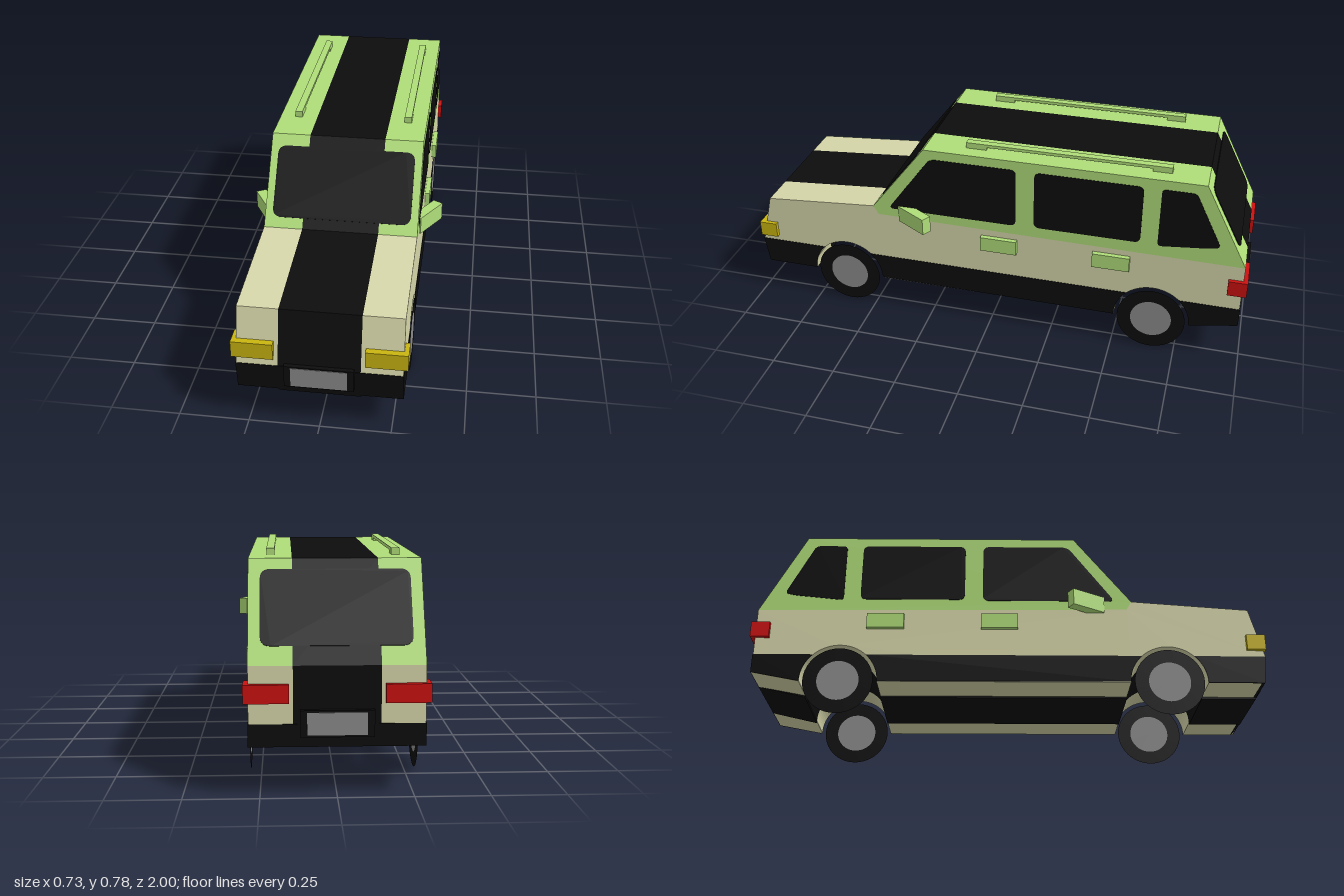
import * as THREE from 'three';

const paint = (name, color) => {
  const m = new THREE.MeshStandardMaterial({ color });
  m.name = name;
  return m;
};

// wheel arch data: axle positions, axle height, arch radius
const ZF = 0.61, ZR = -0.65, AY = 0.133, R = 0.147;
const HALF = 0.286, STRIPE = 0.142;

const poly = (pts) => new THREE.Shape(pts.map((p) => new THREE.Vector2(...p)));

// polygon with softened corners
function roundPoly(pts, r) {
  const s = new THREE.Shape();
  const v = pts.map((p) => new THREE.Vector2(...p));
  v.forEach((c, i) => {
    const toward = (q) => c.clone().add(q.clone().sub(c).setLength(r));
    const a = toward(v[(i + v.length - 1) % v.length]);
    const b = toward(v[(i + 1) % v.length]);
    if (i === 0) s.moveTo(a.x, a.y); else s.lineTo(a.x, a.y);
    s.quadraticCurveTo(c.x, c.y, b.x, b.y);
  });
  s.closePath();
  return s;
}

// extrude a (z, y) profile from x1 to x2
function slab(shape, x1, x2) {
  const g = new THREE.ExtrudeGeometry(shape, { depth: x2 - x1, bevelEnabled: false, curveSegments: 20 });
  return g.rotateY(-Math.PI / 2).translate(x2, 0, 0);
}

// side outline of the body: upper points, then the underside with both arches
function bodyShape(upper, floor) {
  const s = poly(upper);
  s.lineTo(-0.98, 0.165);
  s.lineTo(-0.8, floor);
  s.lineTo(ZR - R, floor);
  s.absarc(ZR, AY, R, Math.PI, 0, true);
  s.lineTo(ZR + R, floor);
  s.lineTo(ZF - R, floor);
  s.absarc(ZF, AY, R, Math.PI, 0, true);
  s.lineTo(ZF + R, floor);
  s.lineTo(0.97, floor);
  s.closePath();
  return s;
}

// dark sill pieces before, between and behind the arches
function sillShapes() {
  const top = 0.24, low = 0.13, a = Math.asin((top - AY) / R), c = R * Math.cos(a);
  const front = poly([[0.97, low], [0.985, top], [ZF + c, top]]);
  front.absarc(ZF, AY, R, a, 0, true);
  front.lineTo(ZF + R, low);
  const mid = poly([[ZF - R, low]]);
  mid.absarc(ZF, AY, R, Math.PI, Math.PI - a, true);
  mid.lineTo(ZR + c, top);
  mid.absarc(ZR, AY, R, a, 0, true);
  mid.lineTo(ZR + R, low);
  const rear = poly([[ZR - R, low]]);
  rear.absarc(ZR, AY, R, Math.PI, Math.PI - a, true);
  rear.lineTo(-0.98, top);
  rear.lineTo(-0.98, 0.165);
  rear.lineTo(-0.8, low);
  return [front, mid, rear];
}

export function createModel() {
  const cream = paint('cream', 0xd7d7ab);
  const green = paint('green', 0xb0de79);
  const black = paint('black', 0x0d0d0d);
  const grey = paint('grey', 0x8c8c8c);
  const yellow = paint('yellow', 0xc9b510);
  const red = paint('red', 0xcd1111);
  const tyreBlack = paint('tyreBlack', 0x0d0d0d);
  const hubGrey = paint('hubGrey', 0x8c8c8c);
  tyreBlack.side = hubGrey.side = THREE.DoubleSide;

  const car = new THREE.Group();
  car.name = 'car';
  const add = (name, geo, mat) => {
    const m = new THREE.Mesh(geo, mat);
    m.name = name;
    car.add(m);
    return m;
  };
  const box = (name, mat, x1, x2, y1, y2, z1, z2) => add(name,
    new THREE.BoxGeometry(x2 - x1, y2 - y1, z2 - z1)
      .translate((x1 + x2) / 2, (y1 + y2) / 2, (z1 + z2) / 2), mat);

  // centre stripe running all the way round the body
  add('centreStripe', slab(bodyShape([[0.985, 0.24], [0.935, 0.44], [0.48, 0.475],
    [0.26, 0.757], [-0.81, 0.757], [-0.98, 0.43]], 0.123), -STRIPE, STRIPE), black);

  const lower = bodyShape([[0.985, 0.24], [0.935, 0.44], [0.48, 0.475], [0.46, 0.44], [-0.98, 0.43]], 0.13);
  const cabin = poly([[0.48, 0.475], [0.26, 0.757], [-0.81, 0.757], [-0.98, 0.43], [0.46, 0.44]]);
  const windows = [
    roundPoly([[0.415, 0.476], [0.235, 0.72], [-0.104, 0.72], [-0.104, 0.476]], 0.025),
    roundPoly([[-0.175, 0.48], [-0.175, 0.72], [-0.585, 0.72], [-0.585, 0.48]], 0.025),
    roundPoly([[-0.65, 0.476], [-0.65, 0.72], [-0.775, 0.72], [-0.882, 0.505], [-0.84, 0.496]], 0.018),
  ];

  for (const s of [1, -1]) {
    const side = s > 0 ? 'left' : 'right';
    const span = (a, b) => (s > 0 ? [a, b] : [-b, -a]);

    // body shell
    add(side + 'LowerBody', slab(lower, ...span(STRIPE, HALF)), cream);
    add(side + 'Cabin', slab(cabin, ...span(STRIPE, HALF)), green);
    for (const w of windows) add(side + 'Window', slab(w, ...span(HALF - 0.003, HALF + 0.002)), black);
    for (const p of sillShapes()) add(side + 'Sill', slab(p, ...span(HALF - 0.003, HALF + 0.002)), black);

    // lamps
    box(side + 'HeadLamp', yellow, ...span(0.157, 0.302), 0.265, 0.327, 0.915, 0.987);
    box(side + 'TailLamp', red, ...span(0.155, 0.302), 0.31, 0.372, -0.997, -0.925);

    // door handles
    for (const z of [-0.038, -0.481])
      box(side + 'DoorHandle', green, ...span(0.28, 0.305), 0.35, 0.41, z - 0.072, z + 0.072);

    // roof rail with its two feet
    const rail = span(0.2, 0.228);
    box(side + 'RoofRail', green, ...rail, 0.768, 0.78, -0.61, 0.03);
    box(side + 'RailFoot', green, ...rail, 0.75, 0.78, 0.025, 0.105);
    box(side + 'RailFoot', green, ...rail, 0.75, 0.78, -0.677, -0.605);

    // door mirror
    const mirror = add(side + 'Mirror', new THREE.BoxGeometry(0.04, 0.067, 0.145), green);
    mirror.position.set(s * 0.311, 0.458, 0.3);
    mirror.rotation.y = -s * 0.53;

    // flat wheel discs
    for (const z of [ZF, ZR]) {
      const wheel = new THREE.Group();
      wheel.name = side + (z > 0 ? 'FrontWheel' : 'RearWheel');
      const tyre = new THREE.Mesh(new THREE.RingGeometry(0.08, 0.133, 40), tyreBlack);
      tyre.name = 'tyre';
      const hub = new THREE.Mesh(new THREE.CircleGeometry(0.08, 40), hubGrey);
      hub.name = 'hub';
      wheel.add(tyre, hub);
      wheel.position.set(s * 0.287, AY, z);
      wheel.rotation.y = s * Math.PI / 2;
      car.add(wheel);
    }
  }

  // front and rear bumper faces
  add('frontBumper', slab(poly([[0.96, 0.13], [0.972, 0.13], [0.987, 0.24], [0.96, 0.24]]), -0.288, 0.288), black);
  add('rearBumper', slab(poly([[-0.975, 0.167], [-0.982, 0.165], [-0.982, 0.24], [-0.975, 0.24]]), -0.288, 0.288), black);

  // windscreen and rear window, laid on the sloping ends of the cabin
  const screen = (name, w, h, y, z, tilt) => {
    const shape = roundPoly([[-w, -h], [w, -h], [w, h], [-w, h]], 0.035);
    const g = new THREE.ExtrudeGeometry(shape, { depth: 0.006, bevelEnabled: false }).translate(0, 0, -0.003);
    const m = add(name, g, black);
    m.position.set(0, y, z);
    m.rotation.x = tilt;
  };
  screen('windscreen', 0.258, 0.136, 0.614, 0.3716, -Math.atan2(0.22, 0.282));
  screen('rearWindow', 0.247, 0.132, 0.605, -0.889, Math.atan2(0.17, 0.327) - Math.PI);

  // blank number plates on dark holders
  box('frontPlateHolder', black, -0.12, 0.12, 0.165, 0.25, 0.95, 0.998);
  box('frontPlate', grey, -0.097, 0.097, 0.17, 0.245, 0.994, 1.0);
  box('rearPlateHolder', black, -0.12, 0.12, 0.2, 0.288, -0.998, -0.95);
  box('rearPlate', grey, -0.097, 0.097, 0.207, 0.281, -1.0, -0.994);

  return car;
}
